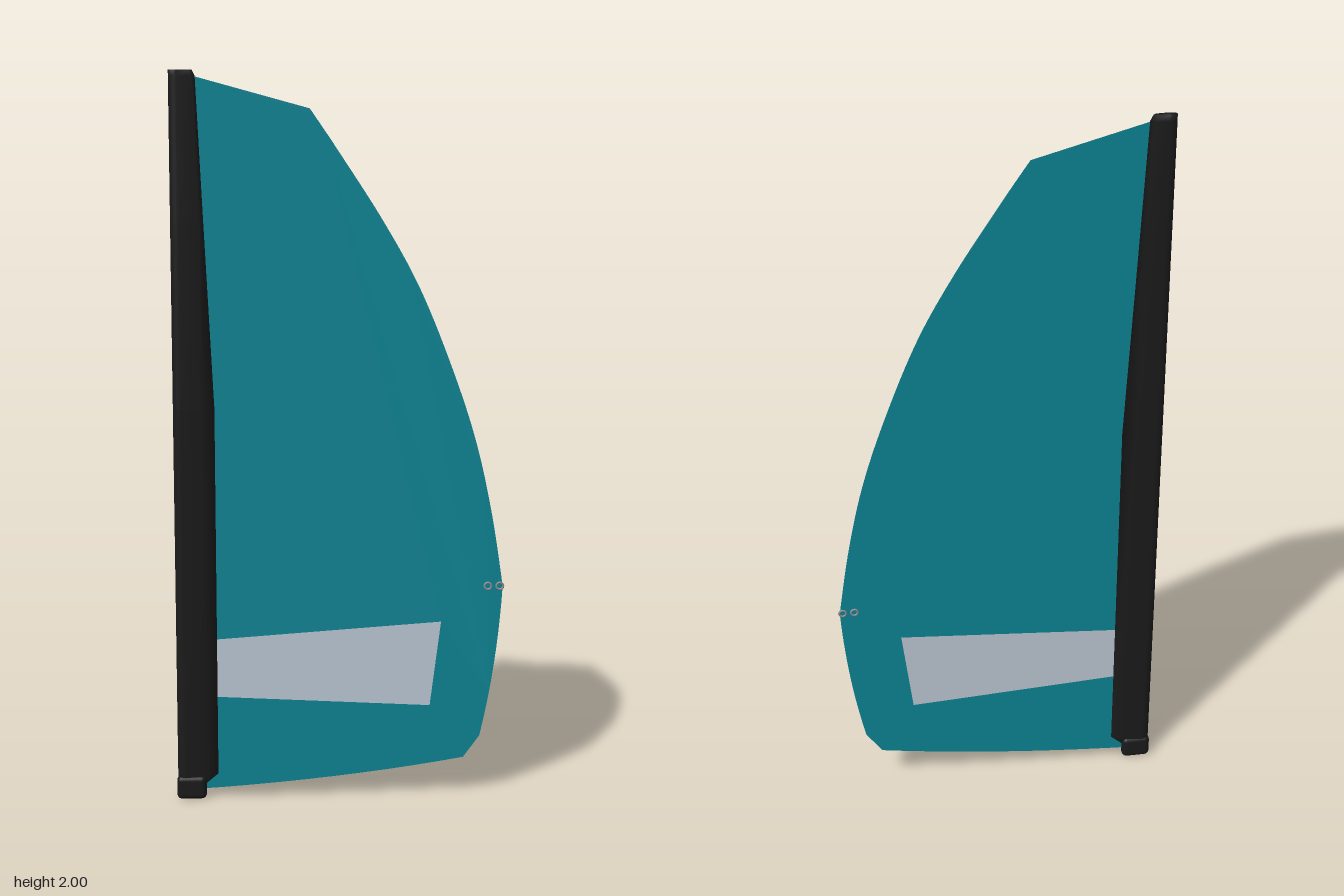
import * as THREE from 'three';
import { RoundedBoxGeometry } from 'three/addons/geometries/RoundedBoxGeometry.js';

const mat = (name, color, side = THREE.FrontSide) => {
  const m = new THREE.MeshStandardMaterial({ color, side });
  m.name = name;
  return m;
};

// Stack of closed teardrop sections: [y, rear edge x, half thickness]
function sleeveGeometry(rows, front, bodyRear) {
  const arc = 12, n = arc + 3;
  const pos = [], idx = [];
  for (const [y, rear, h] of rows) {
    const noseX = front + 0.022;
    for (let i = 0; i <= arc; i++) {
      const a = Math.PI / 2 + (Math.PI * i) / arc;
      pos.push(noseX + 0.022 * Math.cos(a), y, h * Math.sin(a));
    }
    const shoulder = Math.min(bodyRear, rear - 0.008);
    pos.push(shoulder, y, -h * 0.7, rear, y, 0);
    pos.push(shoulder, y, h * 0.7);
  }
  const m = n + 1;
  for (let r = 0; r < rows.length - 1; r++) {
    for (let i = 0; i < m; i++) {
      const a = r * m + i, b = r * m + (i + 1) % m;
      idx.push(a, a + m, b, b, a + m, b + m);
    }
  }
  // End caps as fans
  const top = (rows.length - 1) * m;
  for (let i = 1; i < m - 1; i++) {
    idx.push(0, i, i + 1, top, top + i + 1, top + i);
  }
  const g = new THREE.BufferGeometry();
  g.setAttribute('position', new THREE.Float32BufferAttribute(pos, 3));
  g.setIndex(idx);
  g.computeVertexNormals();
  return g;
}

export function createModel() {
  const model = new THREE.Group();
  model.name = 'sail';
  const cloth = mat('teal cloth', 0x0d8494, THREE.DoubleSide);
  const clear = mat('pale window film', 0xbcc8d4, THREE.DoubleSide);
  const black = mat('black sleeve', 0x1a1a1a, THREE.DoubleSide);
  const metal = mat('grey metal', 0x8a8f94);
  const add = (name, geo, material, x = 0, y = 0, z = 0) => {
    const mesh = new THREE.Mesh(geo, material);
    mesh.name = name;
    mesh.position.set(x, y, z);
    model.add(mesh);
    return mesh;
  };
  const v = (x, y) => new THREE.Vector2(x, y);

  // Sail cloth with curved leech and foot, cut out for the window
  const pane = [v(-0.36, 0.293), v(0.25, 0.26), v(0.28, 0.5), v(-0.36, 0.455)];
  const outline = new THREE.Shape();
  outline.moveTo(-0.41, 0.025);
  outline.quadraticCurveTo(0, 0.048, 0.345, 0.108);
  outline.lineTo(0.39, 0.17);
  outline.quadraticCurveTo(0.437, 0.37, 0.45, 0.6);
  outline.splineThru([v(0.418, 0.8), v(0.373, 1.0), v(0.307, 1.2), v(0.217, 1.42),
    v(0.118, 1.6), v(-0.005, 1.79), v(-0.08, 1.9)]);
  outline.lineTo(-0.41, 1.99);
  outline.closePath();
  outline.holes.push(new THREE.Path(pane));
  add('sailCloth', new THREE.ShapeGeometry(outline, 10), cloth);
  add('window', new THREE.ShapeGeometry(new THREE.Shape(pane)), clear);

  // Mast sleeve, widening downwards and cut back at the foot
  const rows = [[0.03, -0.38, 0.014], [0.045, -0.37, 0.014], [0.07, -0.34, 0.014],
    [1.1, -0.34, 0.014], [1.6, -0.364, 0.014], [1.985, -0.382, 0.014], [2.0, -0.39, 0.011]];
  add('mastSleeve', sleeveGeometry(rows, -0.452, -0.375), black);

  // Mast foot
  add('mastFoot', new RoundedBoxGeometry(0.082, 0.066, 0.036, 4, 0.014), black, -0.414, 0.033, 0);

  // Clew eyelets
  for (const x of [0.409, 0.442]) {
    add('eyelet', new THREE.TorusGeometry(0.0095, 0.003, 8, 20), metal, x, 0.6, 0);
  }
  return model;
}
